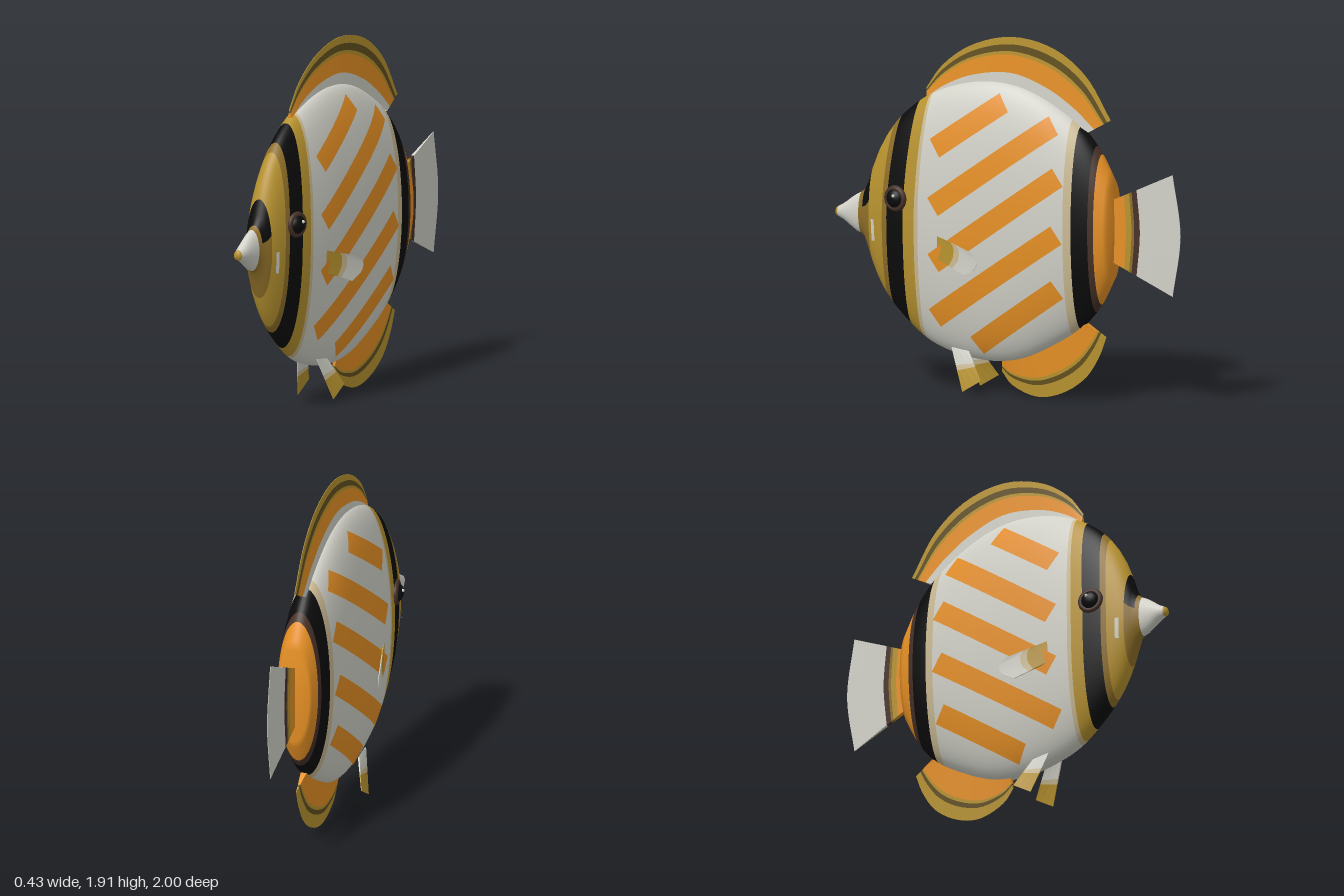
import * as THREE from 'three';

const mat = (name, color) => {
  const m = new THREE.MeshStandardMaterial({ color, side: THREE.DoubleSide });
  m.name = name;
  return m;
};
const V = (x, y, z) => new THREE.Vector3(x, y, z);

// Body sections: z, top, bottom, half width
const SECTIONS = [
  [-0.615, 1.19, 0.66, 0.09], [-0.54, 1.33, 0.515, 0.115], [-0.43, 1.46, 0.39, 0.135],
  [-0.25, 1.58, 0.275, 0.15], [-0.08, 1.65, 0.2, 0.156], [0.09, 1.67, 0.178, 0.157],
  [0.27, 1.645, 0.2, 0.155], [0.45, 1.575, 0.265, 0.143], [0.6, 1.465, 0.385, 0.125],
  [0.7, 1.34, 0.5, 0.105], [0.76, 1.22, 0.61, 0.087], [0.8, 1.1, 0.72, 0.068],
  [0.83, 1.04, 0.795, 0.052], [0.866, 1.02, 0.81, 0.047], [0.904, 0.995, 0.835, 0.04],
  [0.95, 0.96, 0.87, 0.034], [0.995, 0.935, 0.89, 0.02],
];

// Smooth interpolation of the sections at any z
function section(z) {
  const S = SECTIONS, last = S.length - 1;
  let i = 0;
  while (i < last - 1 && z > S[i + 1][0]) i++;
  const a = S[i], b = S[i + 1], p = S[Math.max(i - 1, 0)], n = S[Math.min(i + 2, last)];
  const d = b[0] - a[0], t = THREE.MathUtils.clamp((z - a[0]) / d, 0, 1);
  return [1, 2, 3].map((k) => {
    const ma = (b[k] - p[k]) / (b[0] - p[0]) * d, mb = (n[k] - a[k]) / (n[0] - a[0]) * d;
    const t2 = t * t, t3 = t2 * t;
    return (2 * t3 - 3 * t2 + 1) * a[k] + (t3 - 2 * t2 + t) * ma + (3 * t2 - 2 * t3) * b[k] + (t3 - t2) * mb;
  });
}

// Half width of the body at a point on its side
function sideX(y, z) {
  const [top, bottom, w] = section(z);
  const q = (y - (top + bottom) / 2) / ((top - bottom) / 2);
  return w * Math.sqrt(Math.max(0, 1 - q * q));
}

// Lofted body, one material group for each colour band
function bodyGeometry(bands, names) {
  const N = 64, pos = [], index = [], geo = new THREE.BufferGeometry();
  const ringZ = [bands[0][0]], ringBand = [];
  bands.forEach(([z0, color], i) => {
    const z1 = i + 1 < bands.length ? bands[i + 1][0] : 0.995;
    const steps = Math.ceil((z1 - z0) / 0.03);
    for (let k = 1; k <= steps; k++) {
      ringZ.push(z0 + (z1 - z0) * k / steps);
      ringBand.push(color);
    }
  });
  const step = THREE.MathUtils.smoothstep;
  for (const t of ringZ) {
    const lean = 0.045 * step(t, 0.33, 0.53) * (1 - step(t, 0.64, 0.78));
    for (let j = 0; j < N; j++) {
      const a = j / N * Math.PI * 2, s = Math.sin(a), z = t - lean * Math.max(0, s) ** 1.5;
      const [top, bottom, w] = section(z);
      pos.push(w * Math.cos(a), (top + bottom) / 2 + (top - bottom) / 2 * s, z);
    }
  }
  const add = (name, ...ids) => {
    const m = names.indexOf(name), g = geo.groups.at(-1);
    if (g && g.materialIndex === m) g.count += ids.length;
    else geo.addGroup(index.length, ids.length, m);
    index.push(...ids);
  };
  ringBand.forEach((color, i) => {
    for (let j = 0; j < N; j++) {
      const a = i * N + j, b = i * N + (j + 1) % N, c = a + N, d = b + N;
      const up = Math.sin((j + 0.5) / N * Math.PI * 2) > 0.3;
      const name = color === 'face' ? (up ? 'black' : 'ochre') : color;
      add(name, a, b, d, a, d, c);
    }
  });
  // Mouth tip and rear cap
  const tip = pos.length / 3, lastRing = tip - N;
  pos.push(0, 0.912, 1, 0, 0.925, -0.625);
  for (let j = 0; j < N; j++) {
    const k = (j + 1) % N;
    add('mustard', lastRing + j, lastRing + k, tip);
  }
  for (let j = 0; j < N; j++) add('orange', (j + 1) % N, j, tip + 1);
  geo.setAttribute('position', new THREE.Float32BufferAttribute(pos, 3));
  geo.setIndex(index);
  geo.computeVertexNormals();
  return geo;
}

// Part of a tapering fin, between two fractions of the way from root to rim
function finBand(root, rim, f0, f1, thick, n) {
  const pos = [];
  const quad = (a, b, c, d) => [a, b, c, a, c, d].forEach((v) => pos.push(v.x, v.y, v.z));
  const at = (u, f, s) => {
    const p = root.getPoint(u).lerp(rim.getPoint(u), f);
    p.x += s * (thick * (1 - f) + 0.0015);
    return p;
  };
  for (let i = 0; i < n; i++) {
    const u = i / n, v = (i + 1) / n;
    for (const s of [1, -1]) quad(at(u, f0, s), at(u, f1, s), at(v, f1, s), at(v, f0, s));
    quad(at(u, f1, 1), at(u, f1, -1), at(v, f1, -1), at(v, f1, 1));
  }
  for (const u of [0, 1]) quad(at(u, f0, 1), at(u, f1, 1), at(u, f1, -1), at(u, f0, -1));
  const geo = new THREE.BufferGeometry();
  geo.setAttribute('position', new THREE.Float32BufferAttribute(pos, 3));
  geo.computeVertexNormals();
  return geo;
}

// Slanted stripe that follows the side of the body
function stripeGeometry(z0, y0, z1, y1, width, side) {
  const geo = new THREE.PlaneGeometry(1, 1, 28, 5), p = geo.attributes.position;
  const len = Math.hypot(z1 - z0, y1 - y0), dz = (z1 - z0) / len, dy = (y1 - y0) / len;
  for (let i = 0; i < p.count; i++) {
    const u = p.getX(i) + 0.5, v = (0.5 - p.getY(i)) * width;
    const z = z0 + (z1 - z0) * u - dy * v, y = y0 + (y1 - y0) * u + dz * v;
    p.setXYZ(i, side * (sideX(y, z) + 0.006), y, z);
  }
  if (side < 0) geo.index.array.reverse();
  geo.computeVertexNormals();
  return geo;
}

export function createModel() {
  const fish = new THREE.Group();
  fish.name = 'fish';
  const M = {
    white: mat('white', 0xd2d2c9), orange: mat('orange', 0xee9526), mustard: mat('mustard', 0xb8932f),
    ochre: mat('ochre', 0x8f6f28), olive: mat('olive', 0x62501e), black: mat('black', 0x0b0b0c),
    brown: mat('brown', 0x463027), cream: mat('cream', 0xcbbb94),
  };
  const add = (name, geo, material, parent = fish) => {
    const mesh = new THREE.Mesh(geo, material);
    mesh.name = name;
    parent.add(mesh);
    return mesh;
  };

  // Body, with bands listed from the tail forward
  const names = Object.keys(M);
  add('body', bodyGeometry([
    [-0.615, 'orange'], [-0.545, 'brown'], [-0.515, 'black'], [-0.425, 'cream'], [-0.38, 'white'],
    [0.462, 'cream'], [0.485, 'mustard'], [0.553, 'black'], [0.655, 'ochre'], [0.685, 'mustard'],
    [0.775, 'face'], [0.825, 'ochre'], [0.85, 'white'], [0.983, 'mustard'],
  ], names), names.map((n) => M[n]));

  // Fins, each made of colour bands from root to rim
  const fin = (name, root, rim, bands, thick, n = 28) => {
    const g = new THREE.Group(), a = new THREE.CatmullRomCurve3(root), b = new THREE.CatmullRomCurve3(rim);
    g.name = name;
    bands.forEach(([f0, color], i) => {
      const f1 = i + 1 < bands.length ? bands[i + 1][0] : 1;
      add(name + 'Band', finBand(a, b, f0, f1, thick, n), M[color], g);
    });
    fish.add(g);
  };
  const mid = (list) => list.map(([z, y]) => V(0, y, z));
  fin('dorsalFin',
    mid([[0.47, 1.54], [0.36, 1.59], [0.21, 1.635], [-0.02, 1.65], [-0.22, 1.575], [-0.36, 1.495], [-0.47, 1.435]]),
    mid([[0.475, 1.607], [0.385, 1.73], [0.22, 1.848], [-0.02, 1.91], [-0.26, 1.865], [-0.45, 1.73], [-0.595, 1.505]]),
    [[0, 'white'], [0.27, 'orange'], [0.64, 'mustard'], [0.71, 'olive'], [0.85, 'mustard']], 0.014);
  fin('analFin',
    mid([[0.03, 0.2], [-0.03, 0.205], [-0.14, 0.235], [-0.25, 0.29], [-0.34, 0.345], [-0.41, 0.39], [-0.46, 0.415]]),
    mid([[0.035, 0.125], [-0.02, 0.06], [-0.17, 0.005], [-0.315, 0.035], [-0.45, 0.125], [-0.53, 0.245], [-0.57, 0.35]]),
    [[0, 'orange'], [0.56, 'mustard'], [0.63, 'olive'], [0.73, 'mustard']], 0.014);
  fin('tailFin',
    mid([[-0.6, 1.08], [-0.6, 0.92], [-0.6, 0.76]]),
    mid([[-0.955, 1.24], [-1, 0.917], [-0.955, 0.592]]),
    [[0, 'orange'], [0.22, 'mustard'], [0.3, 'ochre'], [0.34, 'brown'], [0.42, 'white']], 0.012);

  for (const s of [1, -1]) {
    const side = s > 0 ? 'left' : 'right';
    fin(side + 'PectoralFin', [V(s * 0.145, 0.845, 0.345), V(s * 0.145, 0.725, 0.345)],
      [V(s * 0.205, 0.785, 0.13), V(s * 0.213, 0.745, 0.085), V(s * 0.21, 0.7, 0.095), V(s * 0.195, 0.655, 0.165)],
      [[0, 'mustard'], [0.42, 'cream'], [0.56, 'white']], 0.003, 12);
    fin(side + 'PelvicFin', [V(s * 0.06, 0.245, 0.3), V(s * 0.06, 0.23, 0.2)],
      [V(s * 0.11, 0.02, 0.215), V(s * 0.11, 0.085, 0.107)],
      [[0, 'white'], [0.4, 'cream'], [0.52, 'mustard']], 0.003, 4);

    // Slanted side stripes: start z, y and end z, y of the upper edge
    for (const [z0, y0, z1, y1] of [
      [0.4, 1.355, 0.02, 1.617], [0.4, 1.046, -0.267, 1.515], [0.4, 0.746, -0.315, 1.249],
      [0.41, 0.447, -0.315, 0.944], [0.176, 0.313, -0.31, 0.65],
    ]) add(side + 'Stripe', stripeGeometry(z0, y0, z1, y1, 0.112, s), M.orange);

    // Pale cheek mark
    add(side + 'CheekMark', stripeGeometry(0.735, 0.9, 0.732, 0.785, 0.02, s), M.white);

    // Eye with ring and highlight
    const eye = new THREE.Group();
    eye.name = side + 'Eye';
    eye.position.set(s * 0.122, 1.025, 0.598);
    eye.rotation.y = s * Math.PI / 2 - s * 0.2;
    add('eyeRing', new THREE.TorusGeometry(0.053, 0.017, 12, 32), M.brown, eye);
    add('eyeball', new THREE.SphereGeometry(0.052, 24, 16), M.black, eye).scale.z = 0.75;
    add('eyeHighlight', new THREE.SphereGeometry(0.009, 10, 8), M.white, eye).position.set(s * 0.012, 0.018, 0.036);
    fish.add(eye);
  }
  return fish;
}
